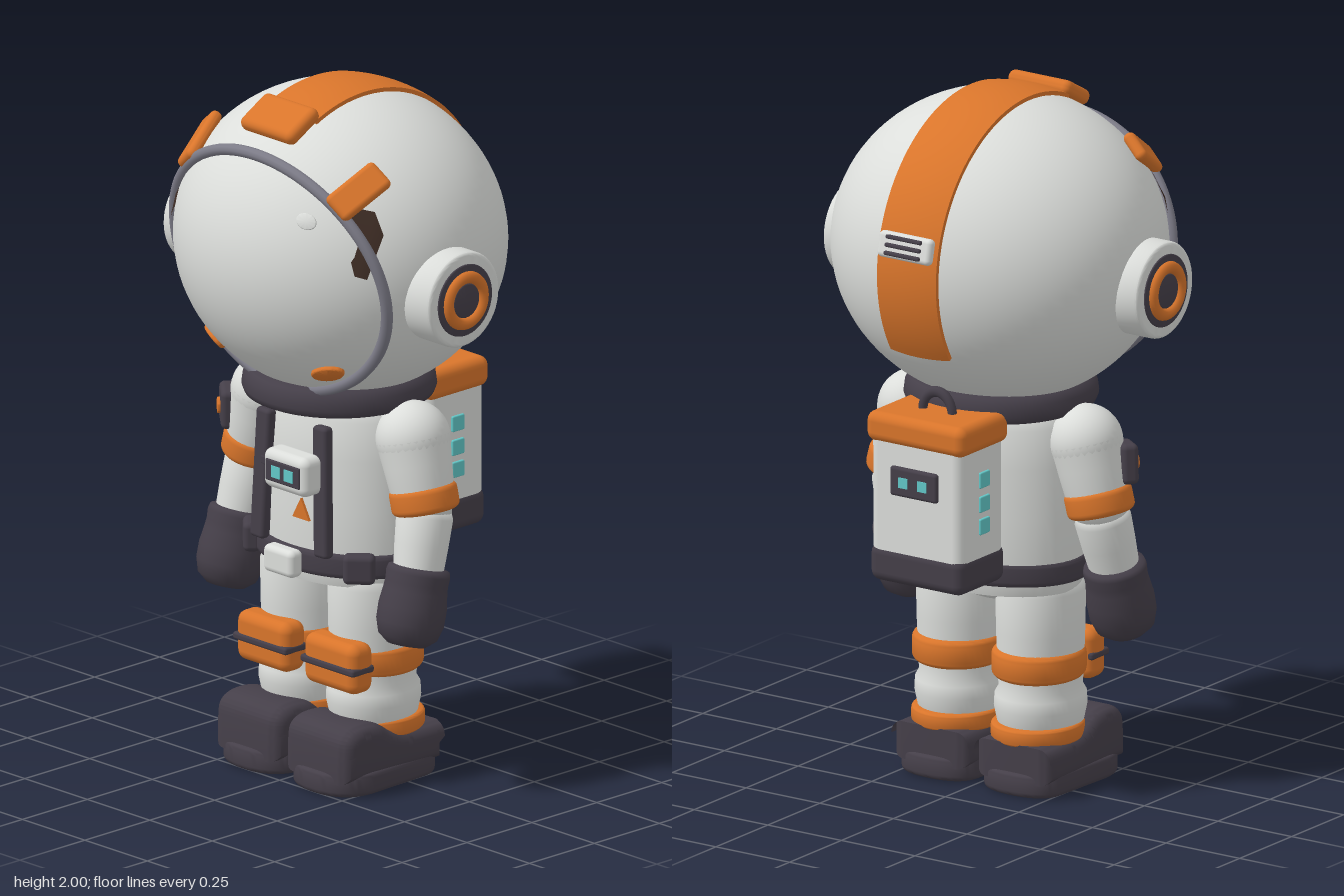
import * as THREE from 'three';
import { toCreasedNormals } from 'three/addons/utils/BufferGeometryUtils.js';
import { RoundedBoxGeometry } from 'three/addons/geometries/RoundedBoxGeometry.js';

const V = (x, y, z) => new THREE.Vector3(x, y, z);
// helmet ellipsoid: centre and radii
const HC = V(0, 1.545, 0.015), HR = V(0.482, 0.44, 0.45);

export function createModel() {
  const mat = (name, color, side = THREE.FrontSide) => {
    const m = new THREE.MeshStandardMaterial({ color, side });
    m.name = name;
    return m;
  };
  const white = mat('suit white', 0xdcdedb);
  const orange = mat('orange', 0xd9752b);
  const dark = mat('charcoal', 0x453f49);
  const grey = mat('rim grey', 0x7d7c88);
  const teal = mat('teal light', 0x62c8c8);
  const brown = mat('dark brown', 0x3d2c24, THREE.DoubleSide);

  const model = new THREE.Group();
  model.name = 'astronaut';

  const add = (name, geo, material, x = 0, y = 0, z = 0) => {
    const m = new THREE.Mesh(geo, material);
    m.name = name;
    m.position.set(x, y, z);
    model.add(m);
    return m;
  };
  const rbox = (w, h, d, r) => new RoundedBoxGeometry(w, h, d, 3, r);
  const lathe = (pts, seg = 48) => new THREE.LatheGeometry(pts.map(([r, y]) => new THREE.Vector2(r, y)), seg);
  // closed cylinder with rounded edges, centred, along y
  const puck = (r, h, b) => {
    const pts = [[0, -h / 2]];
    for (let i = 0; i <= 5; i++) {
      const a = (i / 5 - 1) * Math.PI / 2;
      pts.push([r - b + b * Math.cos(a), -h / 2 + b + b * Math.sin(a)]);
    }
    for (let i = 0; i <= 5; i++) {
      const a = (i / 5) * Math.PI / 2;
      pts.push([r - b + b * Math.cos(a), h / 2 - b + b * Math.sin(a)]);
    }
    pts.push([0, h / 2]);
    return toCreasedNormals(lathe(pts), 0.6);
  };
  // lathe stretched from point a to point b, profile as [radius, fraction]
  const limb = (name, material, a, b, profile) => {
    const d = b.clone().sub(a), len = d.length();
    const m = add(name, lathe(profile.map(([r, t]) => [r, t * len]), 32), material, a.x, a.y, a.z);
    m.quaternion.setFromUnitVectors(V(0, 1, 0), d.normalize());
    return m;
  };
  // point on the helmet front (or back) above x, y
  const onHelmet = (x, y, k = 1, sign = 1) => {
    const u = x / HR.x, v = (y - HC.y) / HR.y;
    const w = sign * Math.sqrt(Math.max(0, 1 - u * u - v * v));
    return V(u, v, w).multiply(HR).multiplyScalar(k).add(HC);
  };
  // sit a mesh on the helmet, its z axis pointing outward
  const seat = (m, p, up) => {
    const n = p.clone().sub(HC).divide(HR).divide(HR).normalize();
    const x = up.clone().cross(n).normalize();
    m.position.copy(p);
    m.quaternion.setFromRotationMatrix(new THREE.Matrix4().makeBasis(x, n.clone().cross(x), n));
    return m;
  };

  // helmet and visor rim
  add('helmet', new THREE.SphereGeometry(1, 64, 48).scale(HR.x, HR.y, HR.z), white, HC.x, HC.y, HC.z);
  const rim = [];
  for (let i = 0; i < 48; i++) {
    const a = i / 48 * Math.PI * 2;
    rim.push(onHelmet(0.414 * Math.cos(a), 1.503 + 0.348 * Math.sin(a), 1.01));
  }
  add('visorRim', new THREE.TubeGeometry(new THREE.CatmullRomCurve3(rim, true), 128, 0.017, 10, true), grey);

  // crest stripe: a box bent over the helmet
  const stripe = new THREE.BoxGeometry(0.2, 1, 1, 8, 1, 48), sp = stripe.attributes.position;
  for (let i = 0; i < sp.count; i++) {
    const x = sp.getX(i), k = sp.getY(i) > 0 ? 1.027 : 0.98;
    const a = -2.12 + (sp.getZ(i) + 0.5) * 2.56, c = k * Math.sqrt(1 - (x / HR.x) ** 2);
    sp.setXYZ(i, x, HC.y + HR.y * c * Math.cos(a), HC.z + HR.z * c * Math.sin(a));
  }
  stripe.computeVertexNormals();
  add('crestStripe', stripe, orange);
  seat(add('crestClip', rbox(0.21, 0.13, 0.045, 0.02), orange), onHelmet(0, 1.925, 1.03), V(0, 1, -1));

  // rear vent
  const ventAt = (dy, k) => onHelmet(0, 1.64 + dy, k, -1);
  seat(add('ventPlate', rbox(0.18, 0.075, 0.03, 0.014), white), ventAt(0, 1.03), V(0, 1, 0));
  for (const dy of [-0.021, 0, 0.021])
    seat(add('ventSlot', rbox(0.12, 0.012, 0.02, 0.005), dark), ventAt(dy, 1.062), V(0, 1, 0));

  // small oval glint on the visor
  seat(add('visorGlint', puck(0.03, 0.008, 0.003).scale(1, 1, 0.75).rotateX(Math.PI / 2), white),
    onHelmet(0.23, 1.72, 1.002), V(0.3, 1, 0));

  for (const s of [1, -1]) {
    // rim clips, lower studs and side wedges
    seat(add('rimClip', rbox(0.09, 0.175, 0.035, 0.016), orange), onHelmet(s * 0.31, 1.795, 1.025), V(s * 0.05, 0.1, -0.14));
    seat(add('visorStud', puck(0.05, 0.02, 0.008).scale(1, 1, 0.65).rotateX(Math.PI / 2), orange),
      onHelmet(s * 0.225, 1.255, 1.0), V(-s * 0.3, 1, 0));
    const wedge = [[0.27, 1.68], [0.305, 1.77], [0.235, 1.75], [0.235, 1.69], [0.29, 1.57], [0.315, 1.58]].map(([z, y]) => {
      const v = (y - HC.y) / HR.y, w = (z - HC.z) / HR.z;
      return V(s * HR.x * 1.03 * Math.sqrt(1 - v * v - w * w), y, z);
    });
    const wg = new THREE.BufferGeometry().setFromPoints(wedge);
    wg.setIndex([1, 2, 3, 4, 5].flatMap((i) => (s > 0 ? [0, i % 5 + 1, i] : [0, i, i % 5 + 1])));
    wg.computeVertexNormals();
    add('sideWedge', wg, brown);

    // ear pieces
    const ear = (name, geo, m, x) => { add(name, geo, m, s * x, 1.49, 0.052).rotation.z = -s * Math.PI / 2; };
    ear('earCup', puck(0.138, 0.13, 0.014), white, 0.47);
    ear('earDisc', puck(0.104, 0.02, 0.004), dark, 0.529);
    add('earRing', new THREE.TorusGeometry(0.067, 0.018, 12, 48).rotateY(Math.PI / 2), orange, s * 0.537, 1.49, 0.052);
    ear('earButton', puck(0.05, 0.03, 0.006), dark, 0.53);
  }

  // collar, torso, pelvis and belt
  add('collar', lathe([[0, 1.09], [0.25, 1.09], [0.265, 1.097], [0.272, 1.115], [0.268, 1.145], [0.255, 1.165], [0.235, 1.175], [0.2, 1.175]]), dark, 0, 0, 0.02);
  const torso = lathe([[0.25, 0.58], [0.268, 0.63], [0.268, 0.8], [0.262, 0.95], [0.25, 1.06], [0.21, 1.12], [0, 1.13]]);
  add('torso', torso.scale(1, 1, 0.74), white, 0, 0, 0.005);
  add('pelvis', lathe([[0, 0.52], [0.08, 0.53], [0.17, 0.56], [0.23, 0.595], [0.25, 0.63]]).scale(1, 1, 0.72), white, 0, 0, 0.005);
  add('belt', puck(0.276, 0.07, 0.016).scale(1, 1, 0.75), dark, 0, 0.645, 0.01);
  add('buckle', rbox(0.12, 0.08, 0.05, 0.018), white, 0, 0.642, 0.237);

  for (const s of [1, -1]) {
    add('beltPouch', rbox(0.09, 0.085, 0.05, 0.016), dark, s * 0.215, 0.648, 0.15).rotation.y = s * 0.75;
    const strap = add('chestStrap', rbox(0.055, 0.38, 0.035, 0.012), dark, s * 0.12, 0.862, 0.198);
    strap.rotation.set(-0.03, 0, s * 0.04);
  }

  // chest panel
  add('panelStrap', rbox(0.12, 0.035, 0.03, 0.01), dark, -0.06, 0.905, 0.2);
  add('chestPanel', rbox(0.175, 0.115, 0.08, 0.025), white, 0.04, 0.913, 0.235);
  add('chestScreen', rbox(0.135, 0.062, 0.01, 0.004), dark, 0.04, 0.913, 0.275);
  for (const x of [0.016, 0.068]) add('chestLight', new THREE.BoxGeometry(0.034, 0.034, 0.006), teal, x, 0.913, 0.28);
  add('chestTriangle', new THREE.CylinderGeometry(0.038, 0.038, 0.012, 3).rotateX(-Math.PI / 2).rotateZ(Math.PI), orange, 0.04, 0.79, 0.2);
  const tri = model.children[model.children.length - 1];
  tri.geometry = new THREE.ExtrudeGeometry(new THREE.Shape([new THREE.Vector2(-0.033, -0.024), new THREE.Vector2(0.033, -0.024), new THREE.Vector2(0, 0.036)]),
    { depth: 0.008, bevelEnabled: false });

  // arms
  for (const s of [1, -1]) {
    const shoulder = V(s * 0.29, 1.02, 0.015), elbow = V(s * 0.343, 0.82, 0.017), wrist = V(s * 0.357, 0.65, 0.06), tip = V(s * 0.362, 0.447, 0.112);
    add('shoulder', new THREE.SphereGeometry(0.105, 32, 24), white, shoulder.x, shoulder.y, shoulder.z);
    limb('upperArm', white, shoulder, elbow, [[0.105, 0], [0.097, 0.35], [0.088, 0.8], [0.07, 1.1], [0, 1.15]]);
    limb('forearm', white, V(s * 0.34, 0.84, 0.012), wrist, [[0, 0], [0.07, 0.05], [0.08, 0.2], [0.076, 0.6], [0.07, 1]]);
    const band = add('armBand', puck(0.096, 0.075, 0.018), orange, s * 0.336, 0.853, 0.016);
    band.rotation.z = s * 0.25;
    limb('glove', dark, V(s * 0.357, 0.668, 0.055), tip,
      [[0.07, 0], [0.086, 0.02], [0.09, 0.08], [0.088, 0.2], [0.09, 0.3], [0.096, 0.5], [0.095, 0.7], [0.083, 0.87], [0.055, 0.97], [0, 1]]);
  }
  // wrist-side control on the right upper arm
  const control = new THREE.Group();
  control.name = 'armControl';
  const controlBox = add('controlBox', rbox(0.1, 0.115, 0.05, 0.016), dark);
  const controlButton = add('controlButton', puck(0.023, 0.012, 0.004).rotateX(Math.PI / 2), orange, 0, 0, 0.027);
  control.add(controlBox, controlButton);
  control.position.set(-0.39, 0.963, 0.07);
  control.rotation.set(0, -0.7, -0.08);
  model.add(control);

  // boot shapes: side profile and sole outline
  const P = (x, y) => new THREE.Vector2(x, y);
  const upperShape = new THREE.Shape();
  upperShape.moveTo(-0.13, 0.04).lineTo(0.25, 0.04).lineTo(0.25, 0.12);
  upperShape.splineThru([P(0.243, 0.165), P(0.215, 0.192), P(0.165, 0.2), P(0.11, 0.192), P(0.06, 0.165), P(0, 0.15), P(-0.13, 0.148)]);
  const upperGeo = toCreasedNormals(new THREE.ExtrudeGeometry(upperShape,
    { depth: 0.18, bevelSize: 0.04, bevelThickness: 0.04, bevelOffset: -0.04, bevelSegments: 6, curveSegments: 24 })
    .translate(0, 0, -0.09).rotateY(-Math.PI / 2), 0.7);
  const soleShape = new THREE.Shape();
  soleShape.moveTo(-0.135, 0.15).lineTo(-0.125, -0.06).quadraticCurveTo(-0.12, -0.145, 0, -0.145)
    .quadraticCurveTo(0.12, -0.145, 0.125, -0.06).lineTo(0.135, 0.15)
    .quadraticCurveTo(0.13, 0.265, 0, 0.265).quadraticCurveTo(-0.13, 0.265, -0.135, 0.15);
  const soleGeo = toCreasedNormals(new THREE.ExtrudeGeometry(soleShape,
    { depth: 0.035, bevelSize: 0.016, bevelThickness: 0.016, bevelOffset: -0.016, bevelSegments: 4, curveSegments: 16 })
    .rotateX(Math.PI / 2), 0.7);

  // legs and boots
  for (const s of [1, -1]) {
    const x = s * 0.135;
    add('leg', lathe([[0.105, 0.14], [0.118, 0.19], [0.126, 0.23], [0.124, 0.265], [0.113, 0.285], [0.116, 0.33], [0.12, 0.45], [0.122, 0.57], [0.1, 0.63], [0, 0.64]])
      .scale(1, 1, 1.1), white, x, 0, 0.018);
    add('kneeBand', puck(0.129, 0.085, 0.022).scale(1, 1, 1.08), orange, x, 0.358, 0.01);
    add('kneePad', rbox(0.21, 0.145, 0.085, 0.03), orange, x, 0.357, 0.153);
    add('kneeStripe', rbox(0.214, 0.022, 0.085, 0.008), dark, x, 0.355, 0.158);
    add('ankleBand', puck(0.127, 0.05, 0.012).scale(1, 1, 1.1), orange, x, 0.163, 0.005);
    add('bootUpper', upperGeo, dark, s * 0.14, 0, 0);
    add('bootSole', soleGeo, dark, s * 0.14, 0.051, 0);
  }

  // backpack
  add('packBody', rbox(0.31, 0.42, 0.215, 0.03), white, 0, 0.875, -0.288);
  add('packBase', rbox(0.318, 0.11, 0.223, 0.03), dark, 0, 0.695, -0.288);
  add('packCap', rbox(0.335, 0.088, 0.235, 0.028), orange, 0, 1.088, -0.288);
  add('packHandle', new THREE.TorusGeometry(0.05, 0.013, 10, 24, Math.PI).scale(1, 1.2, 1), dark, 0, 1.127, -0.287);
  add('packScreen', rbox(0.16, 0.085, 0.02, 0.009), dark, 0, 0.945, -0.397);
  for (const s of [1, -1]) {
    add('packScreenLight', new THREE.BoxGeometry(0.03, 0.03, 0.006), teal, s * 0.032, 0.945, -0.407);
    for (const y of [0.96, 0.89, 0.825]) add('packSideLight', rbox(0.012, 0.046, 0.046, 0.004), teal, s * 0.156, y, -0.285);
  }
  return model;
}
